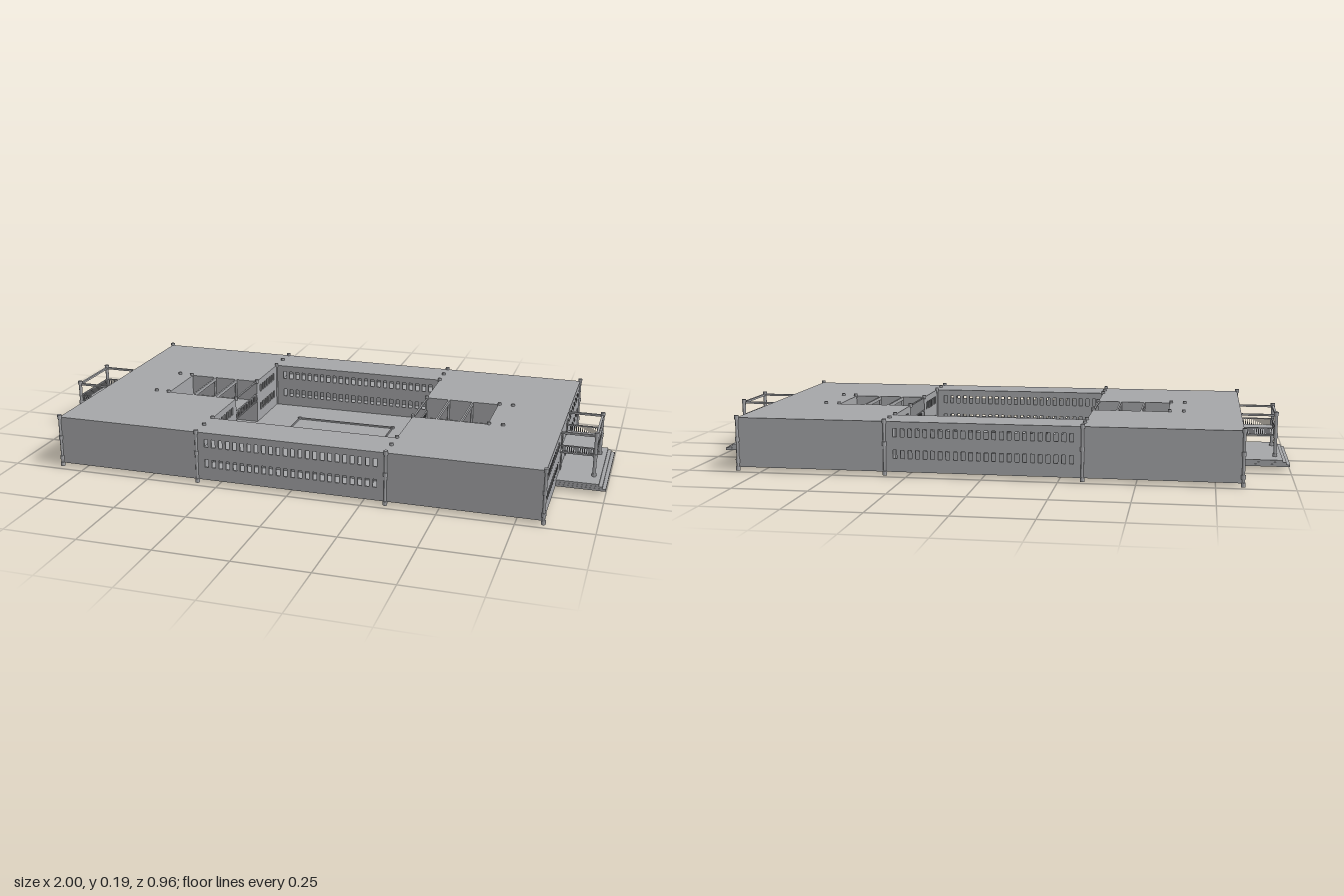
import * as THREE from 'three';

const stone = new THREE.MeshStandardMaterial({ color: 0xa6a7aa });
stone.name = 'grey stone';

const X = 0.836, Z = 0.472, COURT = 0.327, HALL = 0.107;   // main plan lines
const BASE = 0.012, ROOF = 0.18, FLOOR = 0.104, T = 0.006;

export function createModel() {
  const root = new THREE.Group();
  root.name = 'courtyardBuilding';

  const add = (name, geo, parent = root) => {
    const m = new THREE.Mesh(geo, stone);
    m.name = name;
    parent.add(m);
    return m;
  };
  // box given by its limits
  const box = (name, x0, x1, y0, y1, z0, z1, parent) => {
    const g = new THREE.BoxGeometry(Math.abs(x1 - x0), y1 - y0, Math.abs(z1 - z0));
    g.translate((x0 + x1) / 2, (y0 + y1) / 2, (z0 + z1) / 2);
    return add(name, g, parent);
  };
  const rect = (P, x0, x1, y0, y1) => {
    const p = new P();
    p.moveTo(x0, y0); p.lineTo(x1, y0); p.lineTo(x1, y1); p.lineTo(x0, y1); p.closePath();
    return p;
  };
  // wall from u0 to u1 with two rows of windows centred on the given positions
  const wall = (name, axis, at, u0, u1, windows = []) => {
    const s = rect(THREE.Shape, u0, u1, BASE, ROOF);
    for (const u of windows) for (const y of [0.071, 0.143]) {
      s.holes.push(rect(THREE.Path, u - 0.0065, u + 0.0065, y - 0.014, y + 0.014));
    }
    const g = new THREE.ExtrudeGeometry(s, { depth: T, bevelEnabled: false });
    g.translate(0, 0, -T / 2);
    if (axis === 'x') g.rotateY(-Math.PI / 2);   // runs along z, stands at x = at
    g.translate(axis === 'x' ? at : 0, 0, axis === 'x' ? 0 : at);
    return add(name, g);
  };
  // horizontal slab with holes, each given as [x0, x1, z0, z1]
  const slab = (name, y0, y1, holes) => {
    const s = rect(THREE.Shape, -X, X, -Z, Z);
    for (const h of holes) s.holes.push(rect(THREE.Path, ...h));
    const g = new THREE.ExtrudeGeometry(s, { depth: y1 - y0, bevelEnabled: false });
    g.rotateX(-Math.PI / 2).translate(0, y0, 0);
    return add(name, g);
  };
  const knob = (x, y, z, r = 0.0075) => {
    const g = new THREE.CylinderGeometry(r, r, 0.014, 10);
    add('knob', g.translate(x, y, z));
  };
  const post = (x, z, y0 = BASE, y1 = ROOF, r = 0.005) => {
    const g = new THREE.CylinderGeometry(r, r, y1 - y0, 10);
    add('post', g.translate(x, (y0 + y1) / 2, z));
  };
  const series = (a, b, n) => Array.from({ length: n }, (_, i) => a + (b - a) * i / (n - 1));

  // Floors and roof
  const court = [-COURT, COURT, -COURT, COURT];
  const wells = [1, -1].map(s => [s * 0.333, s * 0.588, -HALL, HALL]);
  slab('groundFloor', 0.015, 0.02, []);
  slab('upperFloor', FLOOR - 0.004, FLOOR, [court]);
  slab('roof', ROOF - 0.004, ROOF, [court, ...wells]);

  // Long walls, outer and courtyard
  const longWindows = series(-0.292, 0.292, 24);
  const sideWindows = series(0.147, 0.434, 13);
  for (const s of [1, -1]) {
    wall('longWall', 'z', s * (Z - T / 2), -X, X, longWindows);
    wall('courtLongWall', 'z', s * (COURT + T / 2), -COURT, COURT, longWindows);
  }

  for (const s of [1, -1]) {
    // End wall and courtyard side walls, with the hall between them
    wall('endWall', 'x', s * (X - T / 2), -Z, Z,
      [...sideWindows, ...sideWindows.map(v => -v)]);
    for (const k of [1, -1]) {
      const span = (a, b) => (k > 0 ? [a, b] : [-b, -a]);
      const win = sideWindows.slice(0, 7).map(v => k * v);
      wall('courtSideWall', 'x', s * (COURT + T / 2), ...span(HALL, COURT), win);
      wall('partition', 'x', s * (COURT + T / 2), ...span(COURT, Z));
      wall('hallWall', 'z', k * (HALL + T / 2), ...(s > 0 ? [COURT, X] : [-X, -COURT]));
    }
    wall('hallEndWall', 'x', s * 0.592, -HALL, HALL);

    // Beams and posts across the open light well
    for (const x of [0.41, 0.495]) {
      box('wellBeam', s * (x - 0.003), s * (x + 0.003), 0.168, ROOF, -HALL, HALL);
      for (const k of [1, -1]) post(s * x, k * (HALL - 0.004), 0.02, ROOF, 0.004);
    }

    // Railing towards the courtyard
    box('courtRail', s * 0.327, s * 0.332, 0.127, 0.131, -HALL, HALL);
    for (const z of series(-0.1, 0.1, 28)) {
      box('baluster', s * 0.328, s * 0.331, FLOOR, 0.128, z - 0.0015, z + 0.0015);
    }

    // Porch: stepped base, balcony, open frame and railings
    const porch = new THREE.Group();
    porch.name = 'porch';
    root.add(porch);
    for (let i = 0; i < 3; i++) {
      box('step', s * (X - T), s * (1 - i * 0.012), BASE + i * 0.007, BASE + (i + 1) * 0.007 + 0.001,
        -0.18 + i * 0.001, 0.18 - i * 0.001, porch);
    }
    box('balconyFloor', s * X, s * 0.955, FLOOR, 0.109, -0.108, 0.108, porch);
    box('frameBeam', s * 0.949, s * 0.957, 0.173, ROOF, -HALL, HALL, porch);
    box('handrail', s * 0.95, s * 0.956, 0.129, 0.133, -HALL, HALL, porch);
    for (const z of series(-0.1, 0.1, 28)) {
      box('baluster', s * 0.9515, s * 0.9545, 0.109, 0.13, z - 0.0015, z + 0.0015, porch);
    }
    for (const k of [1, -1]) {
      const z = k * HALL;
      box('frameBeam', s * X, s * 0.953, 0.173, ROOF, z - 0.004, z + 0.004, porch);
      box('handrail', s * X, s * 0.953, 0.129, 0.133, z - 0.003, z + 0.003, porch);
      for (const x of series(0.845, 0.945, 15)) {
        box('baluster', s * (x - 0.0015), s * (x + 0.0015), 0.109, 0.13, z - 0.0015, z + 0.0015, porch);
      }
      post(s * 0.953, z, 0.033, ROOF, 0.006);
      for (const y of [0.037, 0.106, 0.181]) knob(s * 0.953, y, z, 0.008);
      // Doors onto the porch and balcony
      box('lowerDoor', s * X, s * (X + 0.003), 0.033, 0.086, k * 0.058, k * 0.088, porch);
      box('upperDoor', s * X, s * (X + 0.003), 0.109, 0.16, k * 0.058, k * 0.088, porch);

      // Posts and knobs at corners and wall joints
      for (const [x, pz] of [[X, Z], [COURT, Z]]) {
        post(s * x, k * pz);
        for (const y of [0.007, 0.106, 0.181]) knob(s * x, y, k * pz);
      }
      knob(s * X, 0.032, k * Z);
      for (const [x, pz] of [[COURT, 0.4], [COURT, COURT], [COURT, HALL], [0.64, HALL], [0.592, HALL]]) {
        knob(s * x, 0.181, k * pz, 0.0065);
        knob(s * x, 0.011, k * pz, 0.0065);
      }
      post(s * COURT, k * COURT, 0.02, ROOF, 0.004);

      // Courtyard kerb, open in the middle of two sides
      box('courtKerb', s * 0.181, s * 0.185, 0.02, 0.026, k * 0.04, k * 0.185);
      knob(s * 0.183, 0.021, k * 0.183, 0.007);
      knob(s * 0.183, 0.007, k * 0.183, 0.007);
    }
    box('courtKerb', -0.185, 0.185, 0.02, 0.026, s * 0.181, s * 0.185);
  }
  return root;
}
